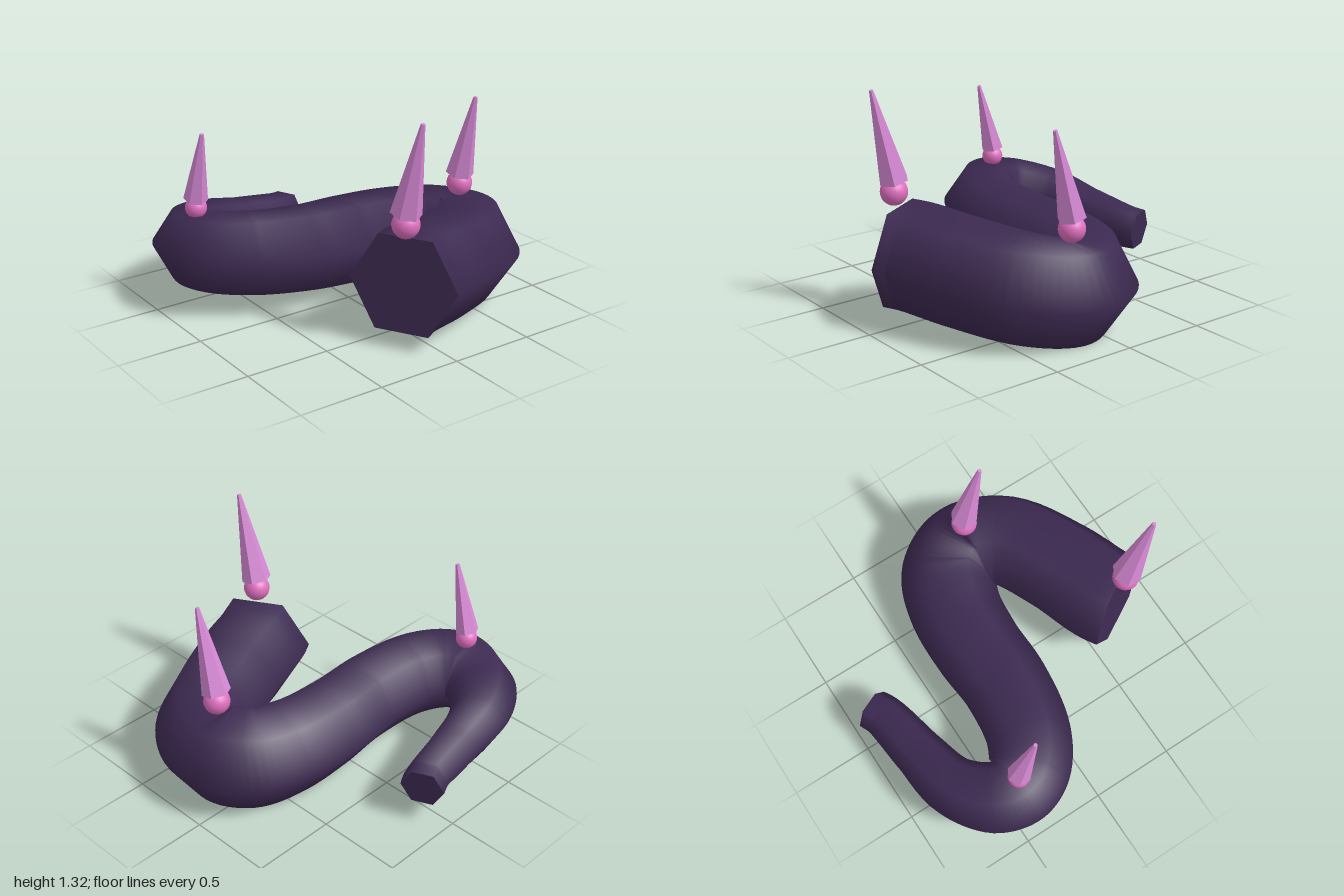
import * as THREE from 'three';

// Centre line of the body from front end to back end: x, y, z, radius
const PATH = [
  [-0.145, 0.37, 0.71, 0.314], [-0.05, 0.362, 0.655, 0.313], [0.25, 0.335, 0.55, 0.31],
  [0.59, 0.295, 0.37, 0.305], [0.70, 0.265, 0.16, 0.3], [0.61, 0.265, -0.02, 0.293],
  [0.40, 0.28, -0.115, 0.28], [0.10, 0.30, -0.145, 0.268], [-0.20, 0.32, -0.138, 0.258],
  [-0.53, 0.345, -0.195, 0.248], [-0.71, 0.355, -0.31, 0.24], [-0.765, 0.355, -0.43, 0.233],
  [-0.73, 0.345, -0.57, 0.215], [-0.55, 0.325, -0.72, 0.18], [-0.27, 0.29, -0.78, 0.15],
  [0.04, 0.258, -0.832, 0.13], [0.125, 0.25, -0.87, 0.125],
];
const SIDES = 6;
const STEPS = 128;

// Ring of hexagon corners at t along the centre line
function ringAt(curve, t) {
  const u = t * (PATH.length - 1);
  const i = Math.min(Math.floor(u), PATH.length - 2);
  const radius = THREE.MathUtils.lerp(PATH[i][3], PATH[i + 1][3], u - i);
  const centre = curve.getPoint(t);
  const tangent = curve.getTangent(t);
  const side = new THREE.Vector3().crossVectors(tangent, new THREE.Vector3(0, 1, 0)).normalize();
  const up = new THREE.Vector3().crossVectors(side, tangent);
  const roll = 0.08 * Math.sin(Math.PI * t);
  const ring = [];
  for (let j = 0; j < SIDES; j++) {
    const a = (j / SIDES) * Math.PI * 2 - roll;
    ring.push(centre.clone()
      .addScaledVector(side, radius * Math.cos(a))
      .addScaledVector(up, radius * Math.sin(a)));
  }
  return ring;
}

function meshFrom(points, index, material, name) {
  const geometry = new THREE.BufferGeometry().setFromPoints(points);
  geometry.setIndex(index);
  geometry.computeVertexNormals();
  const mesh = new THREE.Mesh(geometry, material);
  mesh.name = name;
  return mesh;
}

// Winding, tapering hexagonal body with flat end caps
function createBody(material) {
  const body = new THREE.Group();
  body.name = 'body';
  const curve = new THREE.CatmullRomCurve3(PATH.map(([x, y, z]) => new THREE.Vector3(x, y, z)));
  const points = [];
  const index = [];
  for (let i = 0; i <= STEPS; i++) {
    points.push(...ringAt(curve, i / STEPS));
    if (i === STEPS) break;
    for (let j = 0; j < SIDES; j++) {
      const a = i * SIDES + j;
      const b = i * SIDES + (j + 1) % SIDES;
      index.push(a, a + SIDES, b, b, a + SIDES, b + SIDES);
    }
  }
  body.add(meshFrom(points, index, material, 'windingBody'));

  const fan = [];
  for (let j = 1; j < SIDES - 1; j++) fan.push(0, j, j + 1);
  body.add(meshFrom(ringAt(curve, 0), fan, material, 'frontCap'));
  body.add(meshFrom(ringAt(curve, 1), fan.slice().reverse(), material, 'backCap'));
  return body;
}

// Forward-leaning spike sitting on a ball
function createSpike(name, [x, y, z], ballRadius, baseRadius, height, ballMaterial, spikeMaterial) {
  const group = new THREE.Group();
  group.name = name;
  group.position.set(x, y, z);

  const ball = new THREE.Mesh(new THREE.SphereGeometry(ballRadius, 20, 14), ballMaterial);
  ball.name = 'ball';

  const geometry = new THREE.CylinderGeometry(0.012, baseRadius, height, SIDES);
  geometry.translate(0, height / 2, 0);
  const spike = new THREE.Mesh(geometry, spikeMaterial);
  spike.name = 'spike';
  spike.position.y = ballRadius * 0.8;
  spike.rotation.x = 0.24;

  group.add(ball, spike);
  return group;
}

export function createModel() {
  const model = new THREE.Group();
  model.name = 'spikedWindingBody';
  const bodyMaterial = new THREE.MeshStandardMaterial({ color: 0x3d2a52 });
  const ballMaterial = new THREE.MeshStandardMaterial({ color: 0xe070c0 });
  const spikeMaterial = new THREE.MeshStandardMaterial({ color: 0xd88ad6, flatShading: true });

  model.add(createBody(bodyMaterial));
  const spikes = [
    ['frontSpike', [-0.145, 0.727, 0.725], 0.078, 0.088, 0.54],
    ['leftSpike', [0.695, 0.617, 0.155], 0.076, 0.083, 0.51],
    ['rightSpike', [-0.765, 0.603, -0.418], 0.063, 0.07, 0.425],
  ];
  for (const spike of spikes) model.add(createSpike(...spike, ballMaterial, spikeMaterial));
  return model;
}
